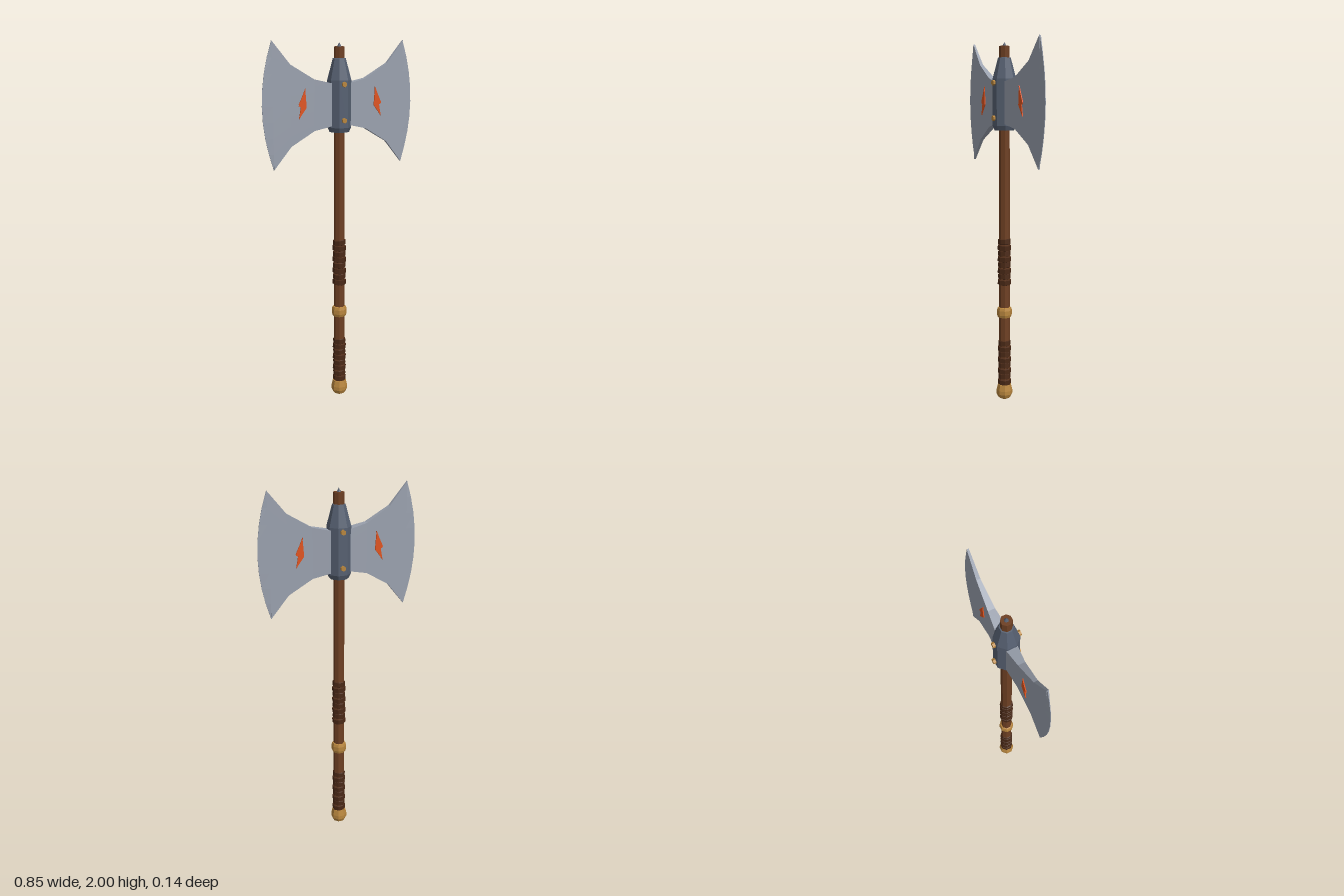
import * as THREE from 'three';

const paint = (color) => new THREE.MeshStandardMaterial({ color, flatShading: true });
const steel = paint(0x9aa1ae);
const iron = paint(0x566071);
const wood = paint(0x6e4023);
const leather = paint(0x4a2916);
const brass = paint(0xb8863e);
const ember = paint(0xe0541f);

function add(parent, name, geometry, material) {
  const mesh = new THREE.Mesh(geometry, material);
  mesh.name = name;
  parent.add(mesh);
  return mesh;
}

// Eight-sided turned part with flats facing the axes; profile runs bottom to top.
function turned(profile) {
  const points = profile.map(([r, y]) => new THREE.Vector2(r, y));
  return new THREE.LatheGeometry(points, 8, Math.PI / 8);
}

// Flared blade: closed cross-sections stepping outwards, ending in a curved edge.
function bladeGeometry() {
  const rows = 8, midY = 1.675;
  const columns = [ // x, half height, half thickness
    [0.03, 0.11, 0.032], [0.06, 0.112, 0.028], [0.148, 0.132, 0.018],
    [0.275, 0.208, 0.010], [0.37, 0.325, 0.005], [0.37, 0.325, 0.0015],
  ];
  const loop = 2 * (rows + 1);
  const positions = [], index = [];
  columns.forEach(([x, h, t], i) => {
    for (let k = 0; k < loop; k++) {
      const front = k <= rows;
      const v = ((front ? k : loop - 1 - k) / rows) * 2 - 1;
      const bulge = i === columns.length - 1 ? 0.057 * (1 - v * v) : 0;
      positions.push(x + bulge, midY + v * h, front ? t : -t);
    }
  });
  for (let i = 0; i < columns.length - 1; i++) {
    for (let k = 0; k < loop; k++) {
      const n = (k + 1) % loop;
      const a = i * loop + k, d = i * loop + n;
      const b = a + loop, c = d + loop;
      index.push(a, b, c, a, c, d);
    }
  }
  // Cutting edge
  const last = (columns.length - 1) * loop;
  for (let j = 0; j < rows; j++) {
    const f = last + j, g = last + loop - 1 - j;
    index.push(f, g, g - 1, f, g - 1, f + 1);
  }
  const geometry = new THREE.BufferGeometry();
  geometry.setAttribute('position', new THREE.Float32BufferAttribute(positions, 3));
  geometry.setIndex(index);
  geometry.computeVertexNormals();
  return geometry;
}

// Jagged bolt-shaped inlay
function runeGeometry() {
  const shape = new THREE.Shape([
    [0.2, 1.76], [0.193, 1.665], [0.235, 1.61], [0.222, 1.675], [0.236, 1.68],
  ].map(([x, y]) => new THREE.Vector2(x, y)));
  const outline = [
    [0.197, 1.762], [0.208, 1.69], [0.193, 1.668], [0.235, 1.608], [0.224, 1.668], [0.236, 1.674],
  ];
  shape.setFromPoints(outline.map(([x, y]) => new THREE.Vector2(x, y)));
  return new THREE.ExtrudeGeometry(shape, { depth: 0.005, bevelEnabled: false });
}

// Leather wrap: stacked, slightly tilted bands
function addWrap(parent, name, y0, y1) {
  const wrap = new THREE.Group();
  wrap.name = name;
  const count = 8, step = (y1 - y0) / count;
  for (let i = 0; i < count; i++) {
    const r = i % 2 ? 0.0345 : 0.037;
    const band = add(wrap, 'wrapBand', turned([
      [0.028, -step * 0.52], [r, -step * 0.4], [r, step * 0.4], [0.028, step * 0.52],
    ]), leather);
    band.position.y = y0 + step * (i + 0.5);
    band.rotation.z = i % 2 ? 0.06 : -0.06;
  }
  parent.add(wrap);
}

export function createModel() {
  const axe = new THREE.Group();
  axe.name = 'doubleAxe';

  // Shaft with its iron tip
  add(axe, 'shaft', turned([[0, 0.06], [0.031, 0.06], [0.028, 1.97], [0, 1.97]]), wood);
  add(axe, 'shaftTip', turned([[0.012, 1.968], [0, 1.99]]), iron);

  // Grip fittings
  addWrap(axe, 'lowerWrap', 0.1, 0.36);
  addWrap(axe, 'upperWrap', 0.68, 0.94);
  add(axe, 'gripRing', turned([
    [0.03, 0.493], [0.037, 0.495], [0.042, 0.51], [0.042, 0.535], [0.037, 0.55], [0.03, 0.552],
  ]), brass);
  add(axe, 'pommel', turned([
    [0, 0.005], [0.036, 0.025], [0.045, 0.045], [0.045, 0.066], [0.037, 0.1], [0, 0.102],
  ]), brass);

  // Socket holding the blades
  add(axe, 'socket', turned([
    [0, 1.53], [0.052, 1.53], [0.063, 1.555], [0.063, 1.8], [0.034, 1.91], [0, 1.915],
  ]), iron);

  // Rivets on front and back
  for (const side of [1, -1]) {
    for (const y of [1.595, 1.78]) {
      const rivet = add(axe, 'rivet', new THREE.CylinderGeometry(0.014, 0.014, 0.03, 6), brass);
      rivet.rotation.x = Math.PI / 2;
      rivet.position.set(0, y, side * 0.057);
    }
  }

  // Two blades, each with an inlay on both faces
  const blade = bladeGeometry(), rune = runeGeometry();
  ['leftBlade', 'rightBlade'].forEach((name, i) => {
    const half = new THREE.Group();
    half.name = name;
    add(half, 'blade', blade, steel);
    add(half, 'frontRune', rune, ember).position.z = 0.017;
    add(half, 'backRune', rune, ember).position.z = -0.022;
    half.rotation.y = i * Math.PI;
    axe.add(half);
  });

  return axe;
}
